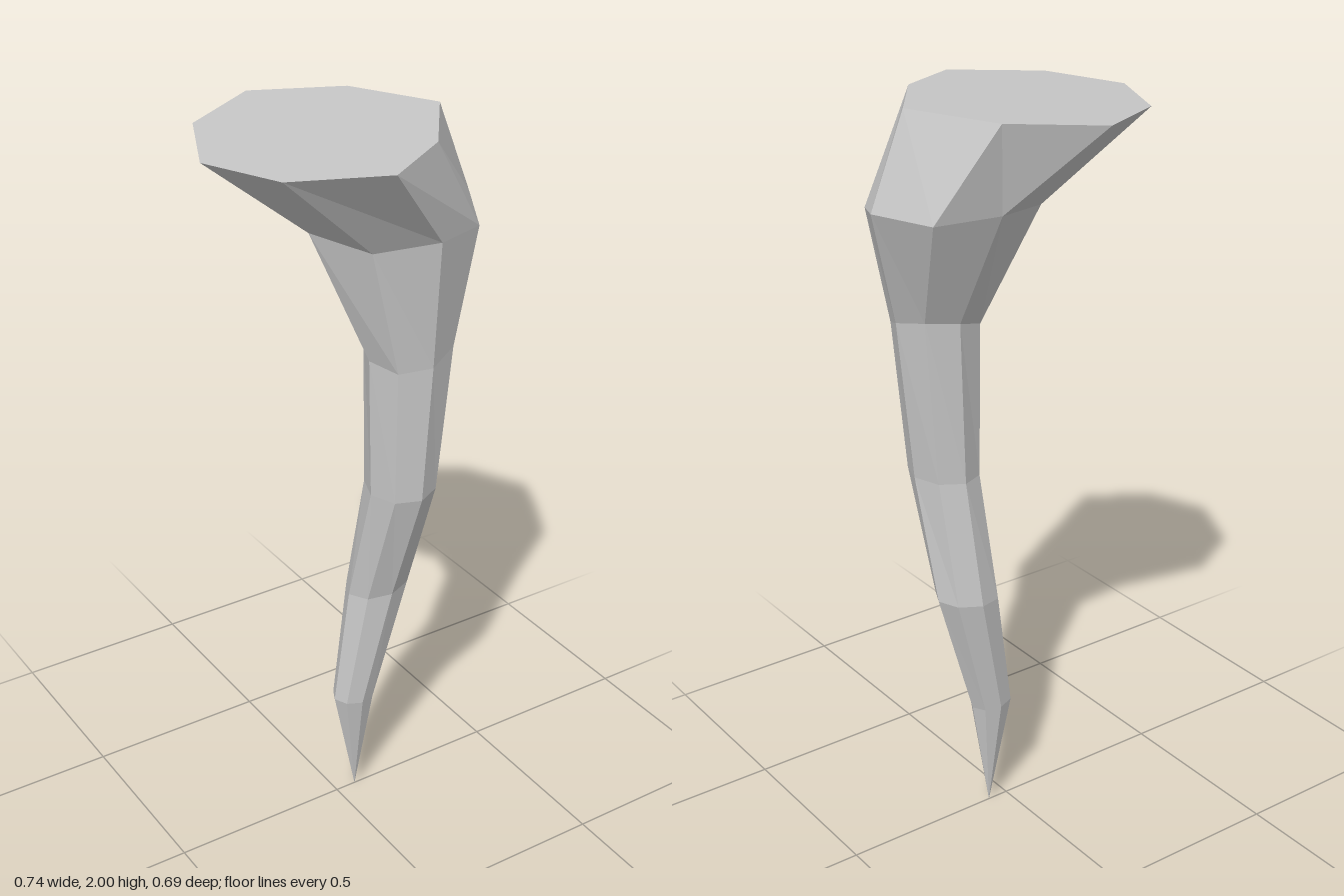
import * as THREE from 'three';

const SIDES = 8;

// Elliptical ring; tiltX and tiltZ raise the +x and +z sides
function ring([x, y, z, rx, rz, tiltX, tiltZ]) {
  return Array.from({ length: SIDES }, (_, k) => {
    const a = (k / SIDES) * Math.PI * 2, c = Math.cos(a), s = Math.sin(a);
    return [x + rx * c, y + tiltX * c + tiltZ * s, z + rz * s];
  });
}

function geometryFrom(points) {
  const g = new THREE.BufferGeometry();
  g.setAttribute('position', new THREE.Float32BufferAttribute(points.flat(), 3));
  g.computeVertexNormals();
  return g;
}

export function createModel() {
  const group = new THREE.Group();
  group.name = 'bentSpike';
  const stone = new THREE.MeshStandardMaterial({ color: 0xc6c6c6, flatShading: true });
  stone.name = 'lightGrey';

  // Rim of the wide, off-centre head
  const rim = [
    [0.28, 0.02], [0.125, 0.232], [-0.062, 0.341], [-0.283, 0.22],
    [-0.37, 0.006], [-0.26, -0.228], [-0.046, -0.344], [0.168, -0.215],
  ].map(([x, z]) => [x, 1.987 + 0.046 * x, z]);

  // Uneven collar where the head meets the shaft
  const collar = [
    [0.37, 1.76, 0.03], [0.3, 1.73, 0.17], [0.14, 1.745, 0.24], [-0.01, 1.725, 0.17],
    [-0.1, 1.75, 0.03], [-0.02, 1.75, -0.115], [0.13, 1.76, -0.165], [0.3, 1.755, -0.127],
  ];

  // Crooked shaft, from the collar down to the point
  const tip = [0.06, 0, 0];
  const shaft = [collar, ...[
    [0.155, 1.425, 0.088, 0.117, 0.11, 0.025, -0.03],
    [0.14, 1.015, 0.084, 0.09, 0.102, 0.005, 0],
    [0.125, 0.675, 0.005, 0.09, 0.075, 0.01, 0],
    [0.05, 0.325, 0.004, 0.06, 0.05, -0.005, 0],
  ].map(ring)];

  // Faces between two rings
  const band = (up, low) => up.flatMap((p, k) => {
    const n = (k + 1) % SIDES;
    return [low[k], p, up[n], low[k], up[n], low[n]];
  });
  const add = (name, points) => {
    const mesh = new THREE.Mesh(geometryFrom(points), stone);
    mesh.name = name;
    group.add(mesh);
  };

  add('headTop', rim.flatMap((p, k) => [[0, 1.987, 0], rim[(k + 1) % SIDES], p]));
  add('headSides', band(rim, collar));
  add('shaft', shaft.slice(1).flatMap((low, i) => band(shaft[i], low)));

  const last = shaft[shaft.length - 1];
  add('tip', last.flatMap((p, k) => [tip, p, last[(k + 1) % SIDES]]));

  return group;
}
